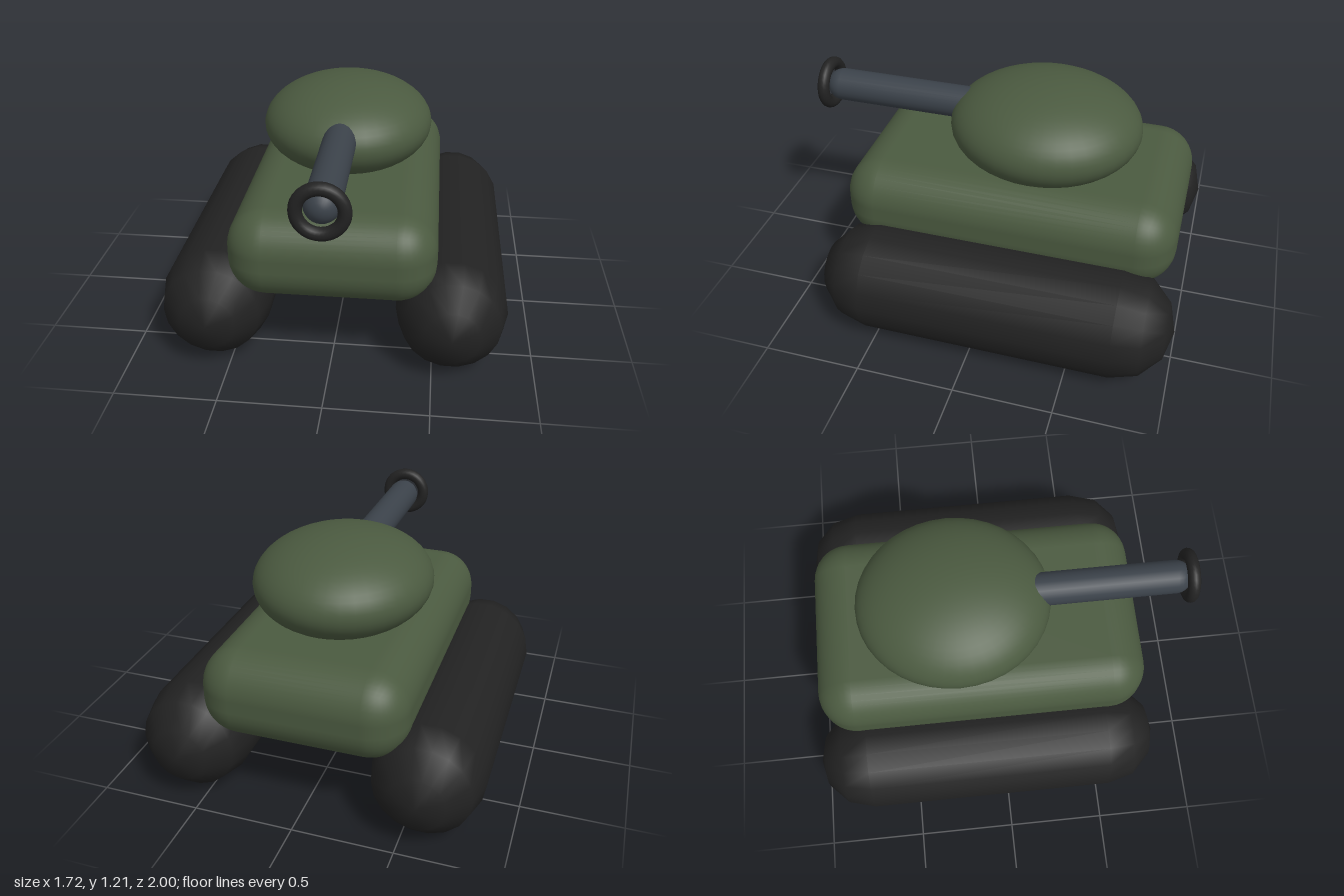
import * as THREE from 'three';
import { RoundedBoxGeometry } from 'three/addons/geometries/RoundedBoxGeometry.js';

const material = (name, color) => {
  const m = new THREE.MeshStandardMaterial({ color });
  m.name = name;
  return m;
};

export function createModel() {
  const green = material('olive green', 0x4b5a40);
  const black = material('rubber black', 0x222222);
  const steel = material('gun steel', 0x3b424a);

  const model = new THREE.Group();
  model.name = 'tank';
  const add = (name, geometry, mat, x, y, z) => {
    const mesh = new THREE.Mesh(geometry, mat);
    mesh.name = name;
    mesh.position.set(x, y, z);
    model.add(mesh);
    return mesh;
  };

  // Soft-edged hull
  add('hull', new RoundedBoxGeometry(1.01, 0.443, 1.7, 5, 0.19), green, 0, 0.599, -0.095);

  // Flattened oval turret
  add('turret', new THREE.SphereGeometry(1, 40, 28), green, 0, 0.975, -0.205).scale.set(0.445, 0.24, 0.487);

  // Round-ended tracks on both sides, lying along z
  const trackGeometry = new THREE.CapsuleGeometry(0.275, 1.26, 3, 18).rotateX(Math.PI / 2);
  for (const [name, side] of [['leftTrack', 1], ['rightTrack', -1]]) {
    add(name, trackGeometry, black, side * 0.587, 0.28, -0.095);
  }

  // Round-tipped barrel reaching into the turret
  add('barrel', new THREE.CapsuleGeometry(0.084, 0.8, 6, 24).rotateX(Math.PI / 2), steel, 0, 1.025, 0.5);

  // Ring around the muzzle
  add('muzzleRing', new THREE.TorusGeometry(0.106, 0.031, 14, 32), black, 0, 1.025, 0.969);

  return model;
}
